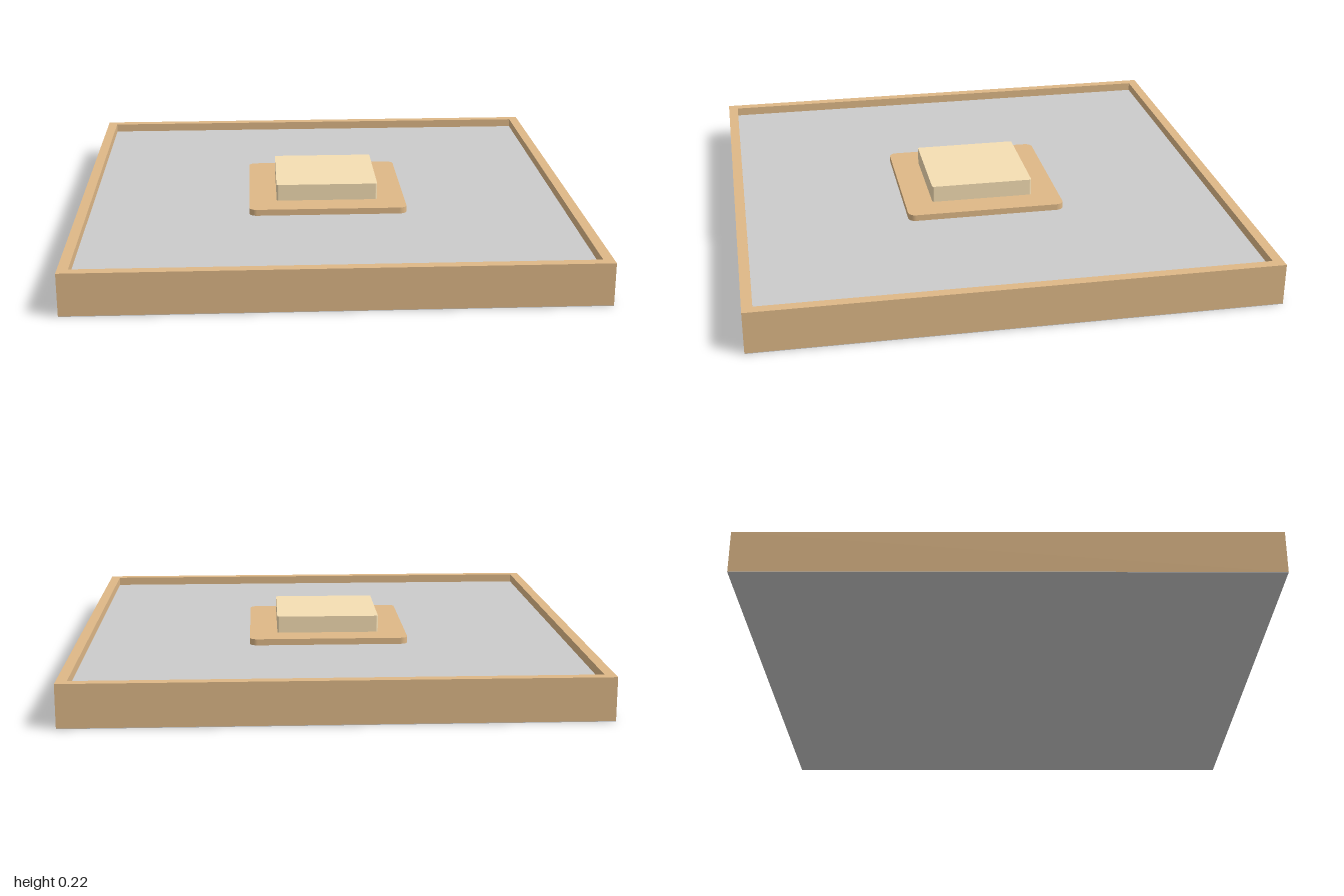
import * as THREE from 'three';

const SIZE = 2, RIM = 0.04, RIM_TOP = 0.165, FLOOR = 0.13, PLATE_TOP = 0.155, BLOCK_TOP = 0.222;

const grey = new THREE.MeshStandardMaterial({ color: 0xcccccc });
const tan = new THREE.MeshStandardMaterial({ color: 0xdeb887 });
const cream = new THREE.MeshStandardMaterial({ color: 0xf5deb3 });

// Centred square outline, with rounded corners when r > 0
function square(size, r = 0, Type = THREE.Shape) {
  const h = size / 2;
  const s = new Type();
  if (r === 0) {
    s.moveTo(-h, -h).lineTo(h, -h).lineTo(h, h).lineTo(-h, h).closePath();
    return s;
  }
  s.absarc(h - r, h - r, r, 0, Math.PI / 2);
  s.absarc(r - h, h - r, r, Math.PI / 2, Math.PI);
  s.absarc(r - h, r - h, r, Math.PI, Math.PI * 1.5);
  s.absarc(h - r, r - h, r, Math.PI * 1.5, Math.PI * 2);
  s.closePath();
  return s;
}

// Upright slab of an outline between two heights
function slab(name, shape, y0, y1, material) {
  const geo = new THREE.ExtrudeGeometry(shape, { depth: y1 - y0, bevelEnabled: false, curveSegments: 6 });
  geo.rotateX(-Math.PI / 2).translate(0, y0, 0);
  const mesh = new THREE.Mesh(geo, material);
  mesh.name = name;
  return mesh;
}

export function createModel() {
  const model = new THREE.Group();
  model.name = 'squareTray';

  // Raised border around the recessed floor
  const rim = square(SIZE);
  rim.holes.push(square(SIZE - 2 * RIM, 0, THREE.Path));

  model.add(
    slab('underside', square(SIZE), 0, 0.002, grey),
    slab('rim', rim, 0.002, RIM_TOP, tan),
    slab('floor', square(SIZE - 2 * RIM), 0.002, FLOOR, grey),
    // Stepped centrepiece
    slab('centrePlate', square(0.636, 0.03), FLOOR, PLATE_TOP, tan),
    slab('centreBlock', square(0.412, 0.008), PLATE_TOP, BLOCK_TOP, cream),
  );
  return model;
}
